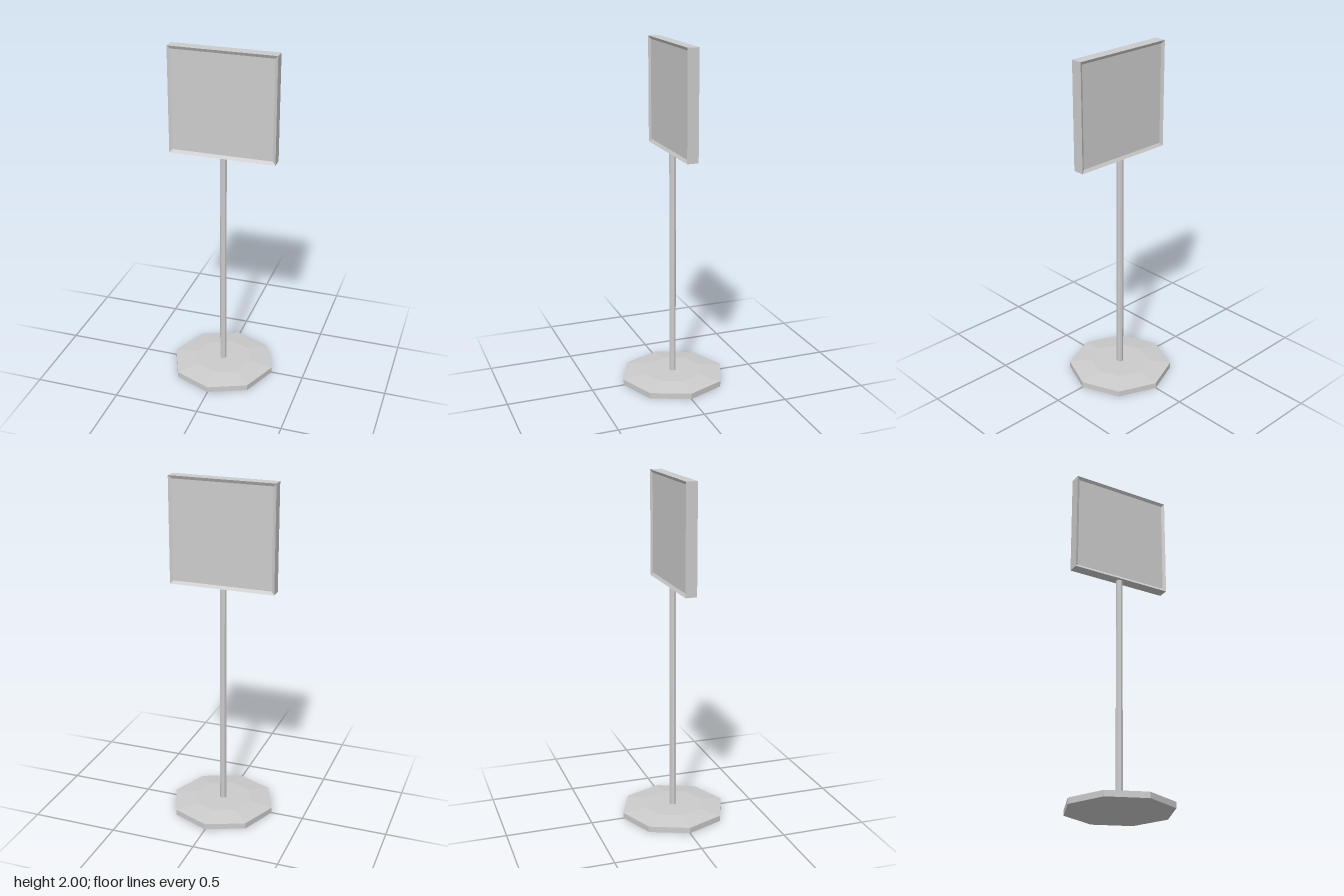
import * as THREE from 'three';

const material = new THREE.MeshStandardMaterial({ color: 0xcccccc, flatShading: true });

function add(group, name, geometry, y) {
  const mesh = new THREE.Mesh(geometry, material);
  mesh.name = name;
  mesh.position.y = y;
  group.add(mesh);
  return mesh;
}

// Square panel whose front and back are dished: rim, sloped border, recessed face
function panelGeometry(size, thickness, border, depth) {
  const h = size / 2, t = thickness / 2;
  const loops = [[h - border, t - depth], [h, t], [h, -t], [h - border, depth - t]];
  const corners = [[-1, -1], [1, -1], [1, 1], [-1, 1]];
  const positions = [], index = [];
  for (const [r, z] of loops) {
    for (const [x, y] of corners) positions.push(x * r, y * r, z);
  }
  for (let k = 0; k < loops.length - 1; k++) {
    for (let i = 0; i < 4; i++) {
      const j = (i + 1) % 4;
      const a = k * 4 + i, b = k * 4 + j, c = a + 4, d = b + 4;
      index.push(a, c, b, b, c, d);
    }
  }
  index.push(0, 1, 2, 0, 2, 3, 12, 14, 13, 12, 15, 14);
  const geometry = new THREE.BufferGeometry();
  geometry.setAttribute('position', new THREE.Float32BufferAttribute(positions, 3));
  geometry.setIndex(index);
  const flat = geometry.toNonIndexed();
  flat.computeVertexNormals();
  return flat;
}

export function createModel() {
  const group = new THREE.Group();
  group.name = 'signStand';

  // Octagonal foot: straight rim, then a shallow slope to a flat top
  const profile = [[0, 0], [0.308, 0], [0.308, 0.034], [0.175, 0.051], [0, 0.051]]
    .map(([r, y]) => new THREE.Vector2(r, y));
  add(group, 'base', new THREE.LatheGeometry(profile, 8), 0);

  // Slim pole from the foot to the sign
  const bottom = 0.04, top = 1.387;
  add(group, 'pole', new THREE.CylinderGeometry(0.02, 0.02, top - bottom, 8), (bottom + top) / 2);

  // Sign board with a recess on both faces
  add(group, 'signBoard', panelGeometry(0.615, 0.066, 0.018, 0.01), 2 - 0.615 / 2);

  return group;
}
